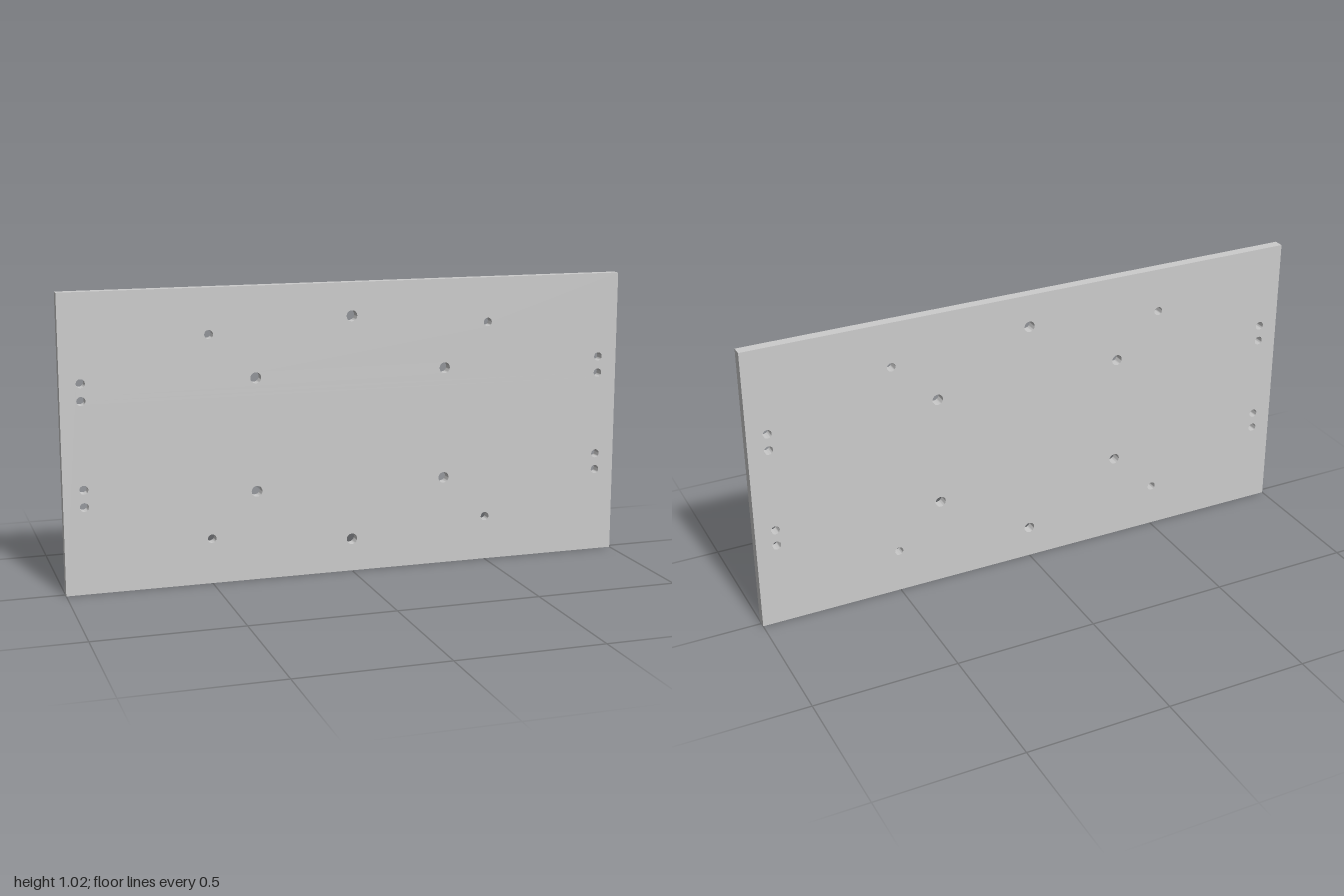
import * as THREE from 'three';
import { toCreasedNormals } from 'three/addons/utils/BufferGeometryUtils.js';

const WIDTH = 2, HEIGHT = 1.016, DEPTH = 0.036;
const BIG = 0.019, SMALL = 0.015;

export function createModel() {
  const group = new THREE.Group();
  group.name = 'drilledPlate';

  // Plate outline, centred on the origin
  const w = WIDTH / 2, h = HEIGHT / 2;
  const plate = new THREE.Shape([
    new THREE.Vector2(-w, -h), new THREE.Vector2(w, -h),
    new THREE.Vector2(w, h), new THREE.Vector2(-w, h),
  ]);

  const drill = (x, y, r) => {
    const hole = new THREE.Path();
    hole.absarc(x, y, r, 0, Math.PI * 2, true);
    plate.holes.push(hole);
  };

  // Six large holes on a bolt circle
  for (let i = 0; i < 6; i++) {
    const a = Math.PI / 2 + (i * Math.PI) / 3;
    drill(0.393 * Math.cos(a), 0.393 * Math.sin(a), BIG);
  }

  // Small holes mirrored into all four quadrants: one inner, a pair at each side edge
  for (const sx of [-1, 1]) for (const sy of [-1, 1]) {
    for (const [x, y] of [[0.5, 0.351], [0.93, 0.208], [0.93, 0.149]]) {
      drill(sx * x, sy * y, SMALL);
    }
  }

  const extruded = new THREE.ExtrudeGeometry(plate, {
    depth: DEPTH, bevelEnabled: false, curveSegments: 16,
  });
  extruded.translate(0, h, -DEPTH / 2);

  const mesh = new THREE.Mesh(
    toCreasedNormals(extruded, Math.PI / 5),
    new THREE.MeshStandardMaterial({ color: 0xcccccc }),
  );
  mesh.name = 'plate';
  group.add(mesh);
  return group;
}
